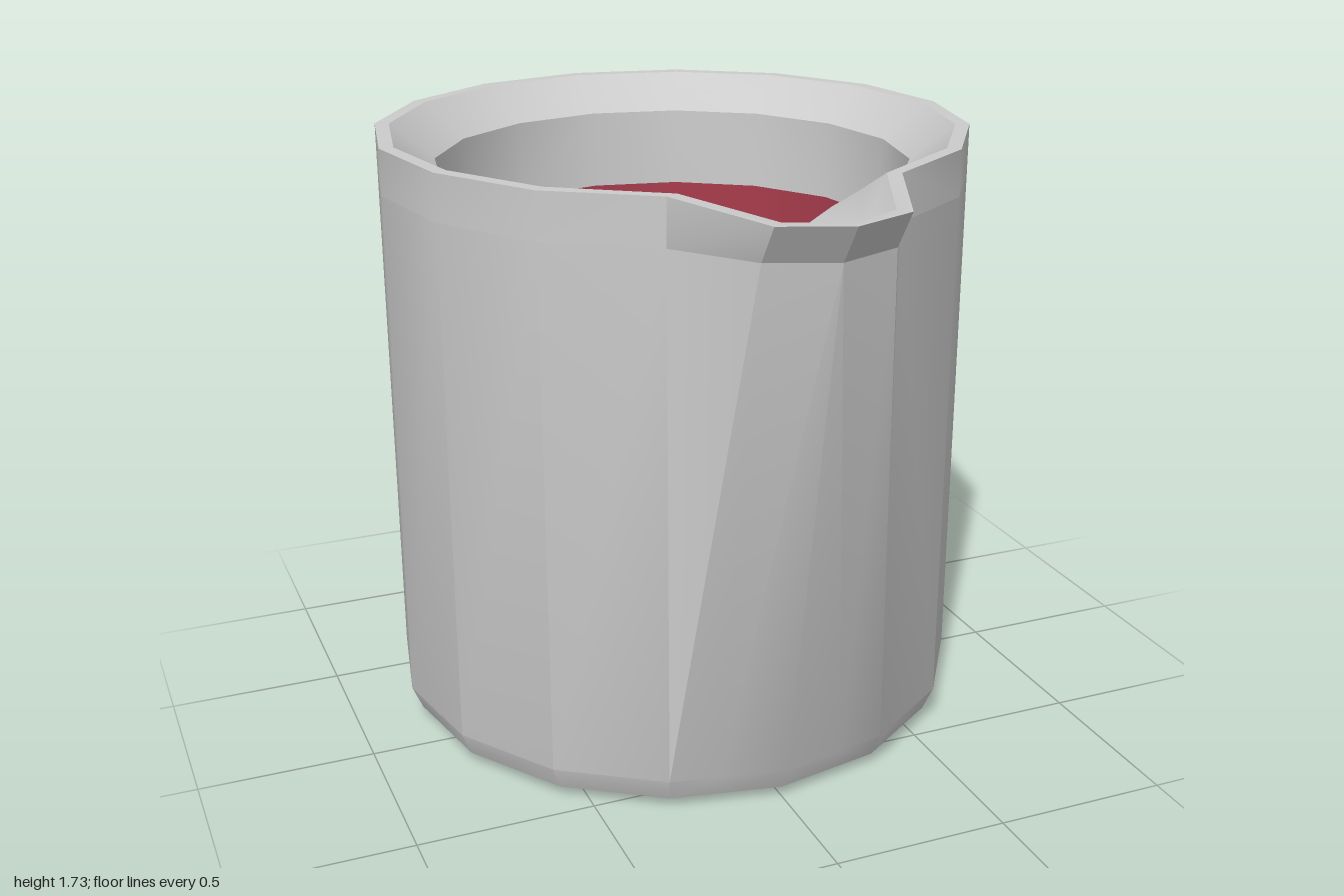
import * as THREE from 'three';
import { toCreasedNormals } from 'three/addons/utils/BufferGeometryUtils.js';

const SIDES = 16, CZ = -0.16;

// One horizontal ring, mirrored in x. It runs from the front (+z) towards +x.
// front = tip, shoulder point of the spout (null: on the edge) and the corner beside it.
function ring(r, y, front = []) {
  const half = [];
  for (let i = 0; i <= SIDES / 2; i++) {
    const a = (i / SIDES) * Math.PI * 2;
    half.push(new THREE.Vector3(r * Math.sin(a), y, CZ + r * Math.cos(a)));
  }
  const [tip, shoulder, corner] = front.map((p) => p && new THREE.Vector3(...p));
  if (tip) half[0] = tip;
  if (corner) half[1] = corner;
  half.splice(1, 0, shoulder || half[0].clone().lerp(half[1], 0.56));
  const mirrored = half.slice(1, -1).reverse().map((p) => new THREE.Vector3(-p.x, p.y, p.z));
  return [...half, ...mirrored];
}

// Skin through the rings, with optional flat caps at the first and last ring
function loft(rings, capStart, capEnd) {
  const pos = [];
  const tri = (...pts) => pts.forEach((p) => pos.push(p.x, p.y, p.z));
  const n = rings[0].length;
  for (let k = 0; k < rings.length - 1; k++) {
    for (let i = 0; i < n; i++) {
      const j = (i + 1) % n;
      const a = rings[k][i], b = rings[k][j], c = rings[k + 1][j], d = rings[k + 1][i];
      if (i < n / 2) { tri(a, b, d); tri(b, c, d); }
      else { tri(a, b, c); tri(a, c, d); }
    }
  }
  const cap = (r, up) => {
    const centre = new THREE.Vector3(0, r[0].y, CZ);
    r.forEach((p, i) => {
      const q = r[(i + 1) % n];
      if (up) tri(centre, p, q); else tri(centre, q, p);
    });
  };
  if (capStart) cap(rings[0], false);
  if (capEnd) cap(rings[rings.length - 1], true);
  const g = new THREE.BufferGeometry();
  g.setAttribute('position', new THREE.Float32BufferAttribute(pos, 3));
  return toCreasedNormals(g, THREE.MathUtils.degToRad(30));
}

export function createModel() {
  const group = new THREE.Group();
  const add = (name, geometry, color) => {
    const mesh = new THREE.Mesh(geometry, new THREE.MeshStandardMaterial({ color }));
    mesh.name = name;
    group.add(mesh);
  };

  // Outer wall with bevelled foot, leaning forward to the underside of the spout
  const foot = ring(0.84, 0.1);
  const underSpout = ring(0.84, 1.6, [[0, 1.615, 0.93], [0.18, 1.615, 0.86], [0.32, 1.6, 0.612]]);
  add('outerWall', loft([ring(0.74, 0), ring(0.81, 0.03), foot, underSpout], true, false), 0xcccccc);

  // Rim and pouring spout: outer band, narrow flat edge, slope down to the inner lip
  const rimOuter = ring(0.84, 1.73, [[0, 1.72, 1.0], [0.18, 1.72, 0.93], [0.32, 1.73, 0.612]]);
  const rimInner = ring(0.8, 1.73, [[0, 1.72, 0.96], [0.15, 1.72, 0.9], [0.285, 1.73, 0.595]]);
  const slope = ring(0.737, 1.68, [[0, 1.65, 0.81], [0.09, 1.665, 0.86], [0.235, 1.68, 0.55]]);
  const lip = ring(0.675, 1.63, [[0, 1.63, 0.68], null, [0.18, 1.63, 0.5]]);
  add('rimAndSpout', loft([underSpout, rimOuter, rimInner, slope, lip]), 0xcccccc);

  // Upper inner wall
  const fillLine = ring(0.665, 1.4, [[0, 1.4, 0.655], null, [0.18, 1.4, 0.495]]);
  add('innerWall', loft([lip, fillLine]), 0xcccccc);

  // Coloured lower lining and floor
  const lowWall = ring(0.64, 0.18, [[0, 0.18, 0.53], null, [0.18, 0.18, 0.485]]);
  const floor = ring(0.6, 0.13, [[0, 0.13, 0.48], null, [0.17, 0.13, 0.44]]);
  add('lining', loft([fillLine, lowWall, floor], false, true), 0xa83c4c);

  return group;
}
